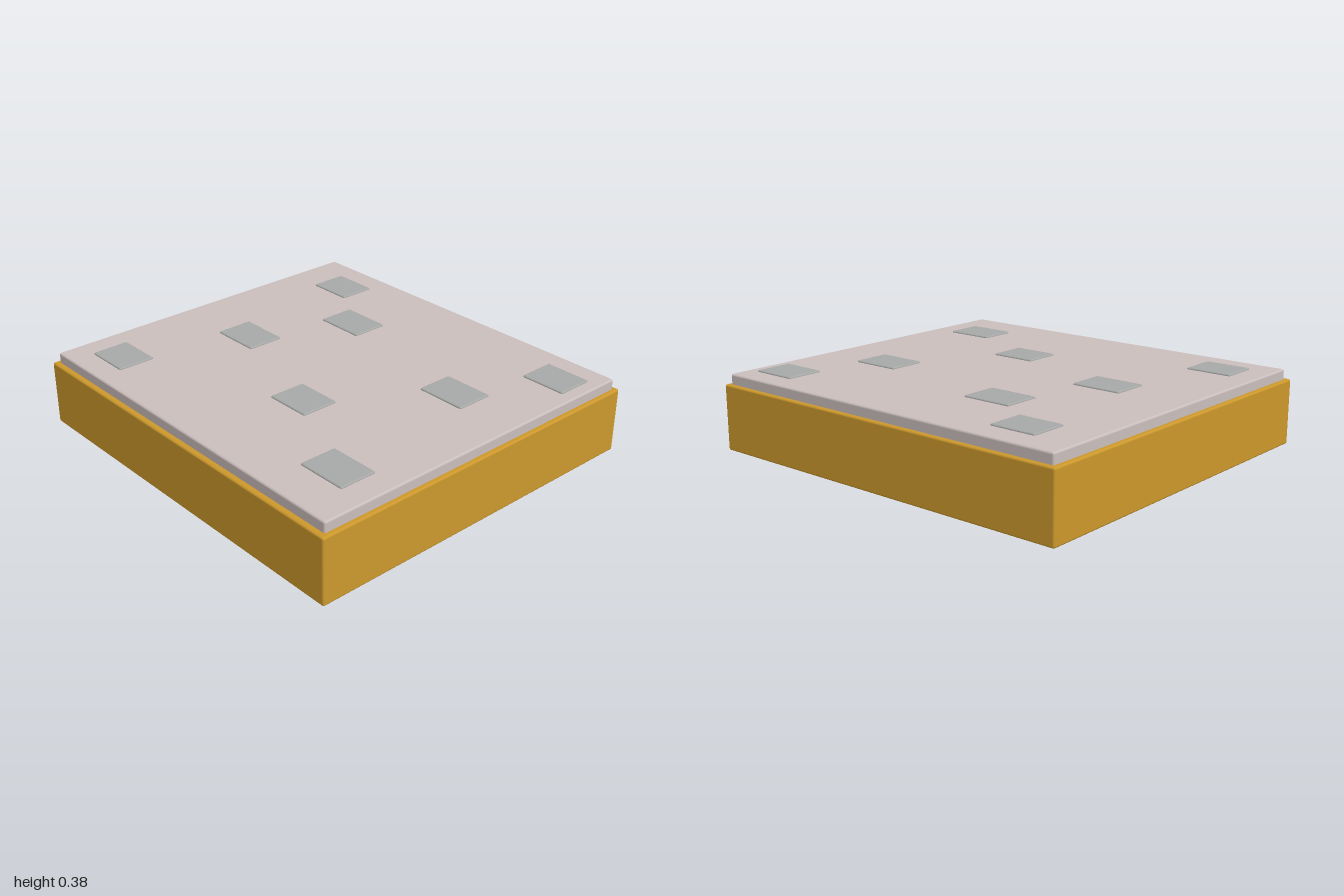
import * as THREE from 'three';
import { RoundedBoxGeometry } from 'three/addons/geometries/RoundedBoxGeometry.js';

const material = (name, color) => {
  const m = new THREE.MeshStandardMaterial({ color });
  m.name = name;
  return m;
};

export function createModel() {
  const ochre = material('ochre', 0xcc982c);
  const paleStone = material('pale stone', 0xcabebc);
  const grey = material('grey', 0xa6a9a7);
  const group = new THREE.Group();
  group.name = 'floorTile';

  // Softly rounded block spanning y0..y1, centred on (x, z)
  const block = (name, mat, w, d, y0, y1, x, z, r) => {
    const mesh = new THREE.Mesh(new RoundedBoxGeometry(w, y1 - y0, d, 2, r), mat);
    mesh.name = name;
    mesh.position.set(x, (y0 + y1) / 2, z);
    group.add(mesh);
  };

  // Base and the slightly smaller slab set into it
  block('base', ochre, 2, 1.84, 0, 0.326, 0, 0, 0.01);
  block('slab', paleStone, 1.955, 1.79, 0.28, 0.377, 0, -0.003, 0.01);

  // Low stones scattered on the slab: x, z, width
  const stones = [
    [-0.665, -0.679, 0.234], [0.797, -0.694, 0.234],
    [-0.287, -0.409, 0.256], [0.579, -0.244, 0.254],
    [-0.517, 0.077, 0.256], [0.175, 0.316, 0.234],
    [0.719, 0.594, 0.252], [-0.737, 0.679, 0.234],
  ];
  stones.forEach(([x, z, w], i) =>
    block(`stone${i + 1}`, grey, w, 0.188, 0.345, 0.385, x, z, 0.007));

  return group;
}
